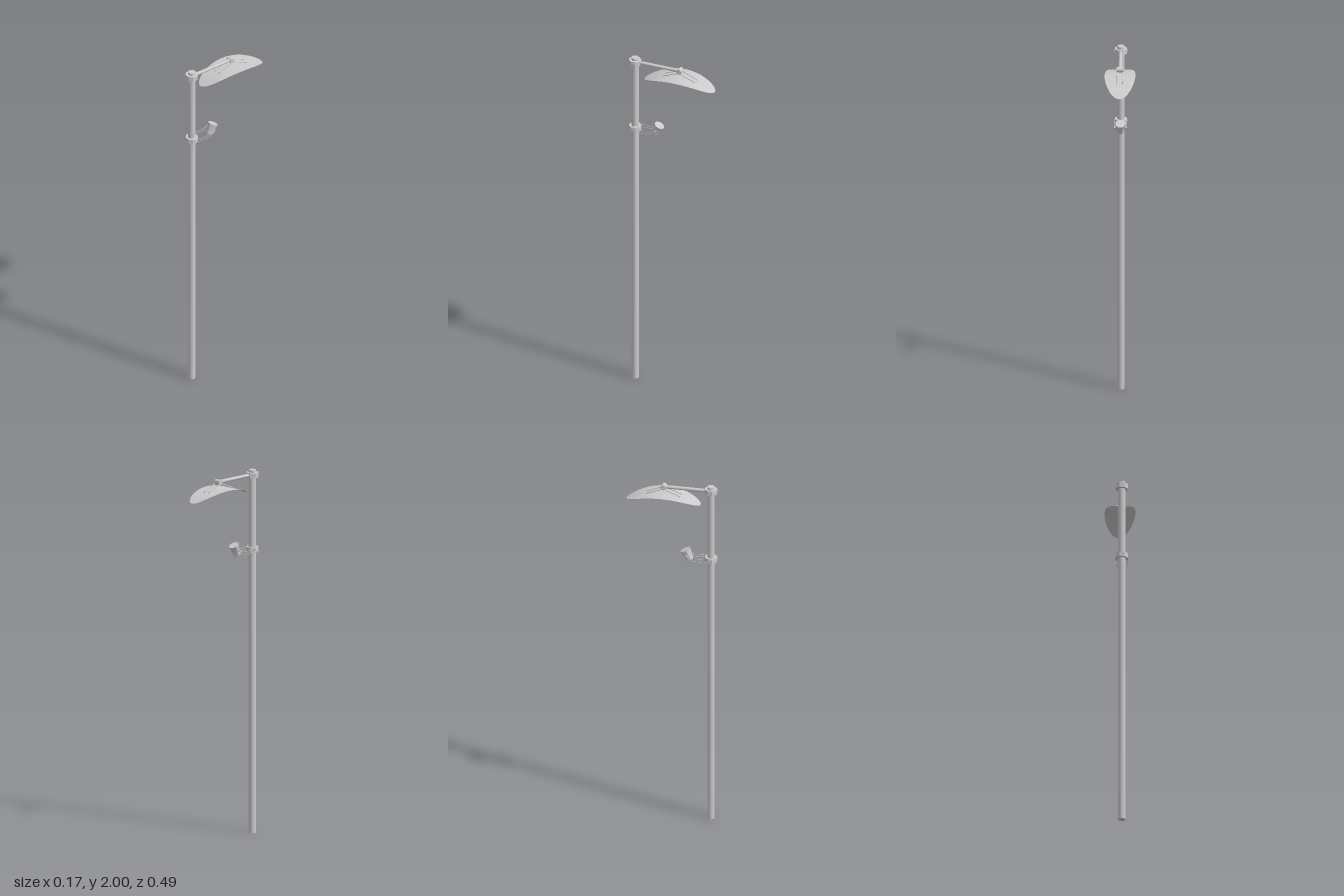
import * as THREE from 'three';

const POLE_Z = 0.215, HUB_Z = -0.045, ARM_Y = 1.972;
const smooth = new THREE.MeshStandardMaterial({ color: 0xcccccc });
const flat = new THREE.MeshStandardMaterial({ color: 0xcccccc, flatShading: true });
const thin = new THREE.MeshStandardMaterial({ color: 0xcccccc, side: THREE.DoubleSide });

export function createModel() {
  const model = new THREE.Group();

  function add(name, geometry, material, x = 0, y = 0, z = 0) {
    const mesh = new THREE.Mesh(geometry, material);
    mesh.name = name;
    mesh.position.set(x, y, z);
    model.add(mesh);
    return mesh;
  }

  // Cylinder running between two points
  function rod(name, a, b, r, sides = 8) {
    const from = new THREE.Vector3(...a), to = new THREE.Vector3(...b);
    const dir = to.clone().sub(from);
    const mesh = add(name, new THREE.CylinderGeometry(r, r, dir.length(), sides), smooth);
    mesh.position.copy(from.add(to).multiplyScalar(0.5));
    mesh.quaternion.setFromUnitVectors(new THREE.Vector3(0, 1, 0), dir.normalize());
    return mesh;
  }

  // Pole with a slightly narrower cap
  add('pole', new THREE.CylinderGeometry(0.02, 0.02, 1.995, 24), smooth, 0, 0.9975, POLE_Z);
  add('poleCap', new THREE.CylinderGeometry(0.0185, 0.02, 0.005, 24), smooth, 0, 1.9975, POLE_Z);

  // Octagonal clamps with side bolts
  for (const [name, y] of [['upperClamp', ARM_Y], ['lowerClamp', 1.562]]) {
    const clamp = new THREE.CylinderGeometry(0.0345, 0.0345, 0.028, 8);
    clamp.rotateY(Math.PI / 8);
    add(name, clamp, flat, 0, y, POLE_Z);
    for (const s of [-1, 1])
      rod(name + 'Bolt', [s * 0.03, y, POLE_Z], [s * 0.0345, y, POLE_Z], 0.009);
  }

  // Horizontal arm and cross hub
  rod('arm', [0, ARM_Y, POLE_Z - 0.02], [0, ARM_Y, HUB_Z], 0.0095, 16);
  rod('hub', [-0.018, ARM_Y, HUB_Z], [0.018, ARM_Y, HUB_Z], 0.0145, 16);

  // Reflector: elliptical sheet arched along z
  const reflectorY = t => 1.937 - 0.052 * t * t;
  const sheet = new THREE.RingGeometry(0.001, 1, 64, 16);
  const p = sheet.attributes.position;
  for (let i = 0; i < p.count; i++) {
    const t = -p.getY(i);
    p.setXYZ(i, p.getX(i) * 0.083, reflectorY(t), HUB_Z + t * 0.203);
  }
  sheet.computeVertexNormals();
  add('reflector', sheet, thin);

  // Four struts from the hub down to feet on the reflector
  for (const sx of [-1, 1]) for (const sz of [-1, 1]) {
    const x = sx * 0.0165, footZ = HUB_Z + sz * 0.09;
    const footY = reflectorY(0.09 / 0.203);
    rod('strut', [x, ARM_Y - 0.006, HUB_Z], [x, footY + 0.004, footZ], 0.003);
    rod('strutFoot', [x, footY, footZ], [x, footY + 0.006, footZ], 0.0045);
  }

  // Flared octagonal floodlight aimed up at the reflector
  const profile = [[0, -0.03], [0.021, -0.03], [0.022, -0.012], [0.024, 0.004], [0.029, 0.03], [0, 0.03]];
  const lampGeo = new THREE.LatheGeometry(profile.map(q => new THREE.Vector2(...q)), 8);
  lampGeo.rotateY(Math.PI / 8);
  const lamp = add('floodlight', lampGeo, flat, 0, 1.578, 0.086);
  lamp.rotation.x = -0.43;

  // Thin bracket wires, two on each side, reaching from clamp to lamp
  for (const s of [-1, 1]) {
    for (const dy of [-0.009, 0.009]) {
      const x = s * 0.033;
      rod('bracketWire', [x, 1.562 + dy, POLE_Z], [x, 1.559 + dy * 0.7, 0.12], 0.0012, 6);
      rod('bracketWire', [x, 1.559 + dy * 0.7, 0.12], [x, 1.578 + dy * 0.3, 0.088], 0.0012, 6);
    }
    rod('lampPivot', [s * 0.02, 1.578, 0.086], [s * 0.034, 1.578, 0.086], 0.005);
  }

  return model;
}
